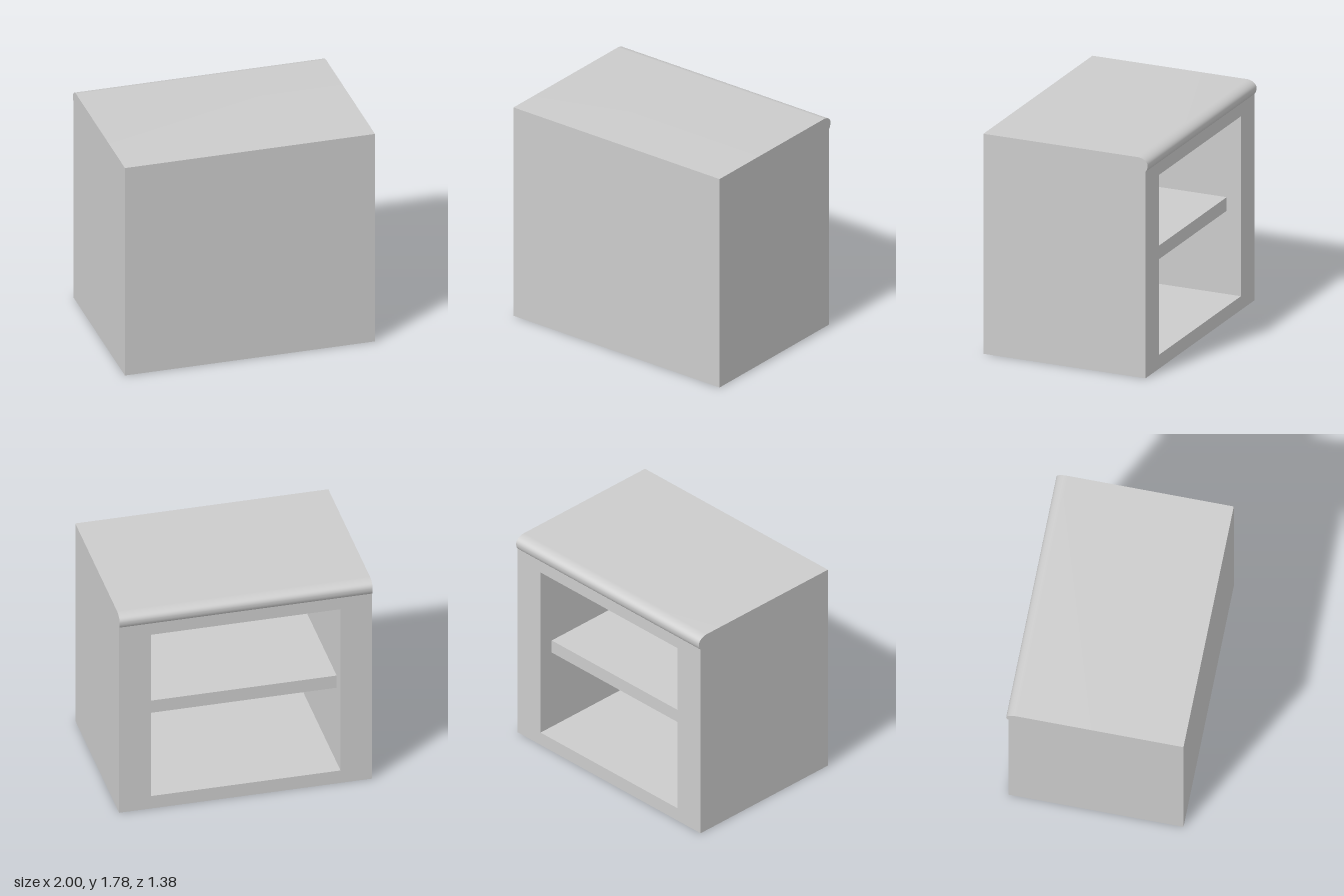
import * as THREE from 'three';
import { toCreasedNormals } from 'three/addons/utils/BufferGeometryUtils.js';

const FRONT = 0.692, BACK = -0.675; // z of the closed front and the open back
const SLAB_Y = 1.675, TOP_Y = 1.785; // underside and top of the worktop
const PANEL = 0.035; // thickness of the closed front panel

export function createModel() {
  const group = new THREE.Group();
  const material = new THREE.MeshStandardMaterial({ color: 0xcccccc });
  const add = (name, geometry, x = 0, y = 0, z = 0) => {
    const mesh = new THREE.Mesh(geometry, material);
    mesh.name = name;
    mesh.position.set(x, y, z);
    group.add(mesh);
  };

  const rectangle = (Type, x, y0, y1) => new Type([
    new THREE.Vector2(-x, y0), new THREE.Vector2(x, y0),
    new THREE.Vector2(x, y1), new THREE.Vector2(-x, y1),
  ]);

  // Carcass: sides, floor and top rail around a deep opening
  const frame = rectangle(THREE.Shape, 1, 0, SLAB_Y);
  frame.holes.push(rectangle(THREE.Path, 0.75, 0.112, 1.572));
  const depth = FRONT - PANEL - BACK;
  add('carcass', new THREE.ExtrudeGeometry(frame, { depth, bevelEnabled: false }), 0, 0, BACK);

  // Panel closing the front
  add('frontPanel', new THREE.BoxGeometry(2, SLAB_Y, PANEL), 0, SLAB_Y / 2, FRONT - PANEL / 2);

  // Shelf, set back from the opening
  const shelfBack = -0.555, shelfDepth = FRONT - PANEL - shelfBack;
  add('shelf', new THREE.BoxGeometry(1.5, 0.11, shelfDepth), 0, 0.843, shelfBack + shelfDepth / 2);

  // Worktop with a rounded nosing; profile drawn as (-z, y) and swept along x
  const profile = new THREE.Shape();
  profile.moveTo(-FRONT, SLAB_Y);
  profile.lineTo(-BACK, SLAB_Y);
  profile.quadraticCurveTo(0.692, 1.695, 0.692, 1.726);
  profile.bezierCurveTo(0.692, 1.758, 0.654, TOP_Y, 0.607, TOP_Y);
  profile.lineTo(-FRONT, TOP_Y);
  const slab = new THREE.ExtrudeGeometry(profile, { depth: 2, bevelEnabled: false, curveSegments: 14 });
  slab.translate(0, 0, -1).rotateY(Math.PI / 2);
  add('worktop', toCreasedNormals(slab, 0.5));

  return group;
}
